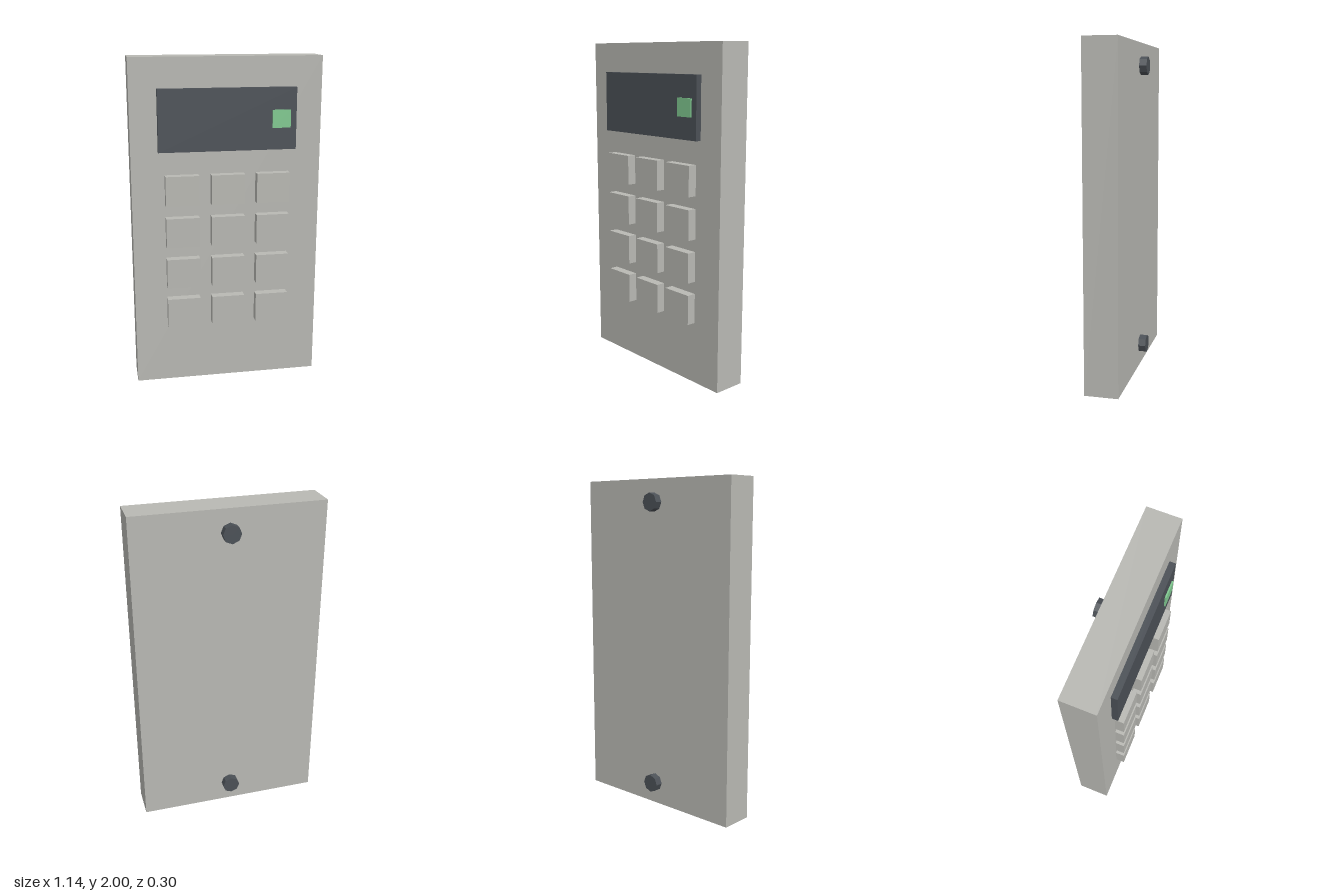
import * as THREE from 'three';

const material = (name, color) => {
  const m = new THREE.MeshStandardMaterial({ color });
  m.name = name;
  return m;
};

export function createModel() {
  const grey = material('casingGrey', 0xb8b8b3);
  const dark = material('darkSlate', 0x4b5056);
  const green = material('indicatorGreen', 0x80c990);
  dark.flatShading = true;

  const model = new THREE.Group();
  model.name = 'keypad';
  const add = (name, geometry, mat, x, y, z) => {
    const mesh = new THREE.Mesh(geometry, mat);
    mesh.name = name;
    mesh.position.set(x, y, z);
    model.add(mesh);
    return mesh;
  };

  // Casing, display panel and status light
  add('casing', new THREE.BoxGeometry(1.136, 2, 0.2), grey, 0, 1, -0.005);
  add('displayPanel', new THREE.BoxGeometry(0.818, 0.364, 0.036), dark, 0, 1.641, 0.113);
  add('statusLight', new THREE.BoxGeometry(0.109, 0.105, 0.009), green, 0.318, 1.641, 0.1355);

  // Four rows of three keys
  const key = new THREE.BoxGeometry(0.2, 0.18, 0.055);
  for (let row = 0; row < 4; row++) {
    for (let col = -1; col <= 1; col++) {
      add('key', key, grey, col * 0.273, 1.23 - row * 0.2545, 0.1225);
    }
  }

  // Eight-sided mounting screws on the back
  const screw = new THREE.CylinderGeometry(0.0545, 0.0545, 0.045, 8).rotateX(Math.PI / 2);
  for (const y of [0.136, 1.864]) add('mountingScrew', screw, dark, 0, y, -0.1275);

  return model;
}
